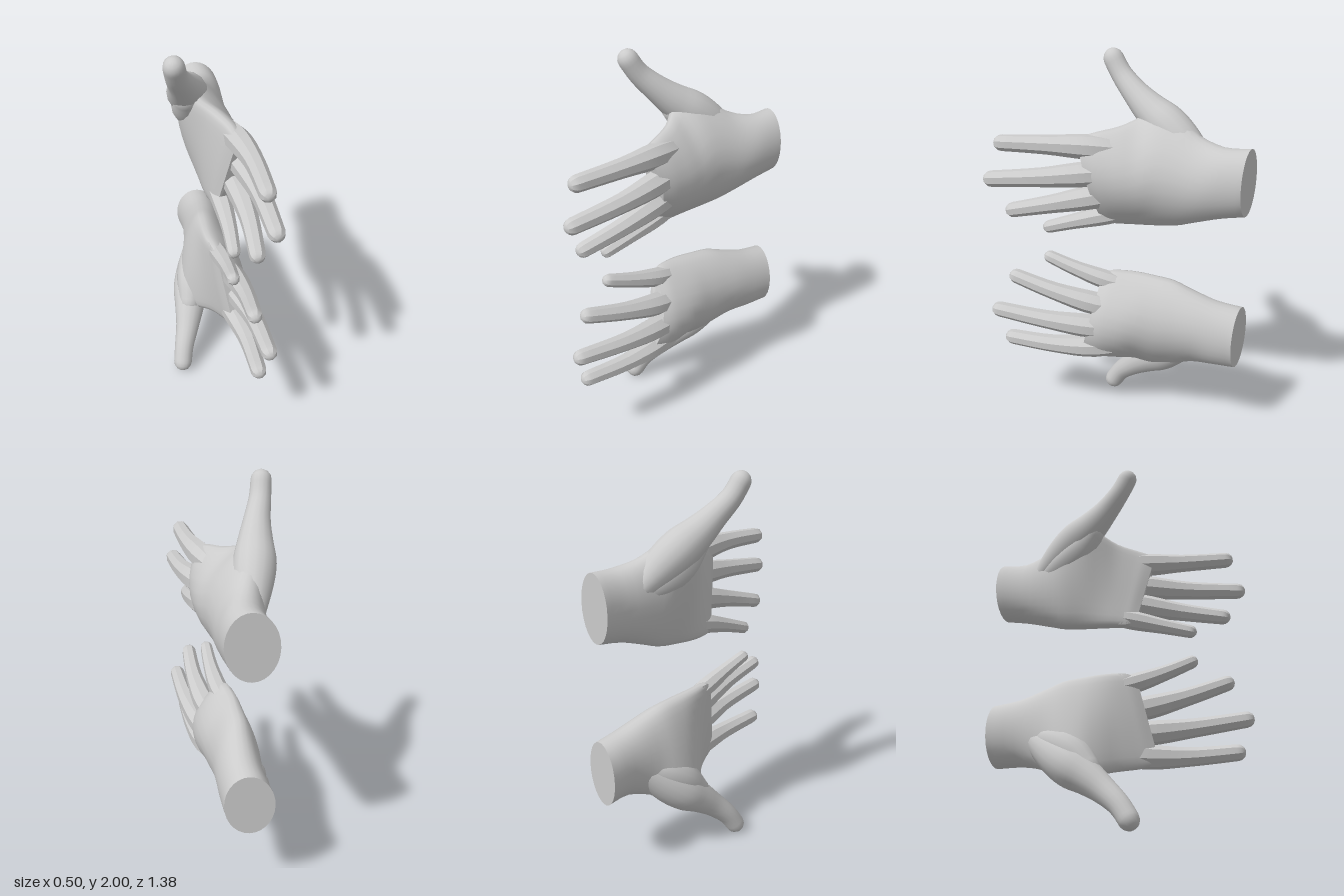
import * as THREE from 'three';
import { toCreasedNormals } from 'three/addons/utils/BufferGeometryUtils.js';

const material = new THREE.MeshStandardMaterial({ color: 0xcccccc });
const V = (x, y, z) => new THREE.Vector3(x, y, z);

// smooth interpolation of every column of a small table, t in 0..1
function sample(rows, t) {
  return rows[0].map((_, c) =>
    new THREE.SplineCurve(rows.map((r, i) => new THREE.Vector2(i, r[c]))).getPoint(t).y);
}

// skin a list of equal-sized rings and close both ends; faces always point outward
function loft(name, rings, crease, mirrored) {
  const n = rings[0].length, pos = [], idx = [];
  const mean = (ring) => ring.reduce((a, p) => a.add(p), V(0, 0, 0)).divideScalar(n);
  const points = [...rings.flat(), mean(rings[0]), mean(rings[rings.length - 1])];
  if (mirrored) points.forEach((p) => { p.y = 2 - p.y; });
  points.forEach((p) => pos.push(p.x, p.y, p.z));
  const last = (rings.length - 1) * n, c0 = rings.length * n;
  for (let j = 0; j < n; j++) {
    const k = (j + 1) % n;
    for (let i = 0; i < last; i += n) idx.push(i + j, i + k, i + n + k, i + j, i + n + k, i + n + j);
    idx.push(c0, k, j, c0 + 1, last + j, last + k);
  }
  let volume = 0;
  const normal = V(0, 0, 0);
  for (let i = 0; i < idx.length; i += 3)
    volume += points[idx[i]].dot(normal.crossVectors(points[idx[i + 1]], points[idx[i + 2]]));
  if (volume < 0) idx.reverse();
  const geometry = new THREE.BufferGeometry();
  geometry.setAttribute('position', new THREE.Float32BufferAttribute(pos, 3));
  geometry.setIndex(idx);
  const mesh = new THREE.Mesh(toCreasedNormals(geometry, crease), material);
  mesh.name = name;
  return mesh;
}

// tapering limb along rows of [x, y, z, radius], ending in a rounded tip
function limb(name, rows, sides, crease, mirrored) {
  const rings = [], steps = (rows.length - 1) * 4;
  const at = (t) => { const [x, y, z, r] = sample(rows, t); return { p: V(x, y, z), r }; };
  const addRing = (p, dir, r) => {
    const u = V(1, 0, 0).cross(dir).normalize(), v = dir.clone().cross(u);
    rings.push(Array.from({ length: sides }, (_, j) => {
      const a = ((j + 0.5) / sides) * Math.PI * 2;
      return p.clone().addScaledVector(u, r * Math.cos(a)).addScaledVector(v, r * Math.sin(a));
    }));
  };
  let dir;
  for (let i = 0; i <= steps; i++) {
    const t = i / steps, { p, r } = at(t);
    dir = at(Math.min(1, t + 0.02)).p.sub(at(Math.max(0, t - 0.02)).p).normalize();
    addRing(p, dir, r);
  }
  const end = at(1);
  for (const a of [0.45, 0.9, 1.3])
    addRing(end.p.clone().addScaledVector(dir, end.r * Math.sin(a)), dir, end.r * Math.cos(a));
  return loft(name, rings, crease, mirrored);
}

// palm rows: z, upper edge y, x, lower edge y, x, half thickness, bow of the back, z slant by x, by y
const PALM = [
  [-0.65, 1.597, 0.128, 1.257, 0.128, 0.118, 0, 0.34, 0],
  [-0.52, 1.595, 0.113, 1.235, 0.11, 0.113, 0.005, 0.2, 0],
  [-0.4, 1.632, 0.04, 1.195, 0.075, 0.11, 0.045, 0, 0],
  [-0.3, 1.715, -0.05, 1.16, 0.045, 0.104, 0.09, 0, 0],
  [-0.2, 1.75, -0.09, 1.147, 0.025, 0.094, 0.12, 0, 0],
  [-0.11, 1.692, -0.045, 1.14, 0.008, 0.082, 0.122, 0, 0.03],
  [-0.03, 1.658, 0.015, 1.137, 0, 0.074, 0.104, 0, 0.08],
  [0.05, 1.638, 0.05, 1.136, 0, 0.063, 0.086, 0, 0.17],
  [0.1, 1.622, 0.06, 1.14, 0, 0.052, 0.078, 0, 0.22],
  [0.145, 1.605, 0.068, 1.16, 0.005, 0.033, 0.07, 0, 0.25],
];

// the back bows more than the palm side, and sections grow boxier towards the knuckles
function palm(mirrored) {
  const rings = [], steps = 27, sides = 28;
  for (let i = 0; i <= steps; i++) {
    const t = i / steps;
    const [z, yt, xt, yb, xb, thick, bow, slantX, slantY] = sample(PALM, t);
    rings.push(Array.from({ length: sides }, (_, j) => {
      const a = (j / sides) * Math.PI * 2, c = Math.cos(a), s = Math.sin(a), f = (1 + c) / 2;
      const side = Math.sign(s) * Math.abs(s) ** (1 - 0.3 * t);
      const x = xb + (xt - xb) * f + bow * (0.65 + 0.35 * s) * (1 - c * c) + thick * side;
      const y = yb + (yt - yb) * f;
      return V(x, y, z + slantX * (x - 0.128) + slantY * (y - 1.4));
    }));
  }
  return loft('palm', rings, 0.9, mirrored);
}

// rows run from inside the palm to the fingertip
const FINGERS = {
  indexFinger: [[0.05, 1.545, -0.1, 0.04], [0.08, 1.564, 0.12, 0.063], [0.08, 1.568, 0.35, 0.049], [0.048, 1.56, 0.588, 0.042]],
  middleFinger: [[0.07, 1.45, -0.1, 0.04], [0.1, 1.432, 0.13, 0.064], [0.105, 1.405, 0.38, 0.05], [0.075, 1.376, 0.646, 0.042]],
  ringFinger: [[0.055, 1.34, -0.1, 0.04], [0.078, 1.305, 0.11, 0.062], [0.067, 1.25, 0.34, 0.048], [0.027, 1.193, 0.554, 0.04]],
  littleFinger: [[0.02, 1.225, -0.12, 0.035], [0.022, 1.187, 0.06, 0.051], [0.006, 1.137, 0.23, 0.041], [-0.02, 1.088, 0.374, 0.034]],
};

const THUMB = [
  [0.05, 1.46, -0.46, 0.05], [0.0, 1.565, -0.34, 0.092], [-0.05, 1.65, -0.24, 0.103],
  [-0.09, 1.718, -0.15, 0.086], [-0.13, 1.79, -0.07, 0.067], [-0.175, 1.87, 0.004, 0.055],
  [-0.2, 1.948, 0.052, 0.052],
];

// muscle at the base of the thumb
const THUMB_PAD = [
  [0.06, 1.45, -0.45, 0.05], [0.005, 1.51, -0.33, 0.088], [-0.043, 1.58, -0.23, 0.092], [-0.085, 1.67, -0.15, 0.065],
];

function hand(name, mirrored) {
  const group = new THREE.Group();
  group.name = name;
  group.add(palm(mirrored));
  for (const [part, rows] of Object.entries(FINGERS)) group.add(limb(part, rows, 8, 0.6, mirrored));
  group.add(limb('thumb', THUMB, 16, 0.9, mirrored));
  group.add(limb('thumbPad', THUMB_PAD, 16, 0.9, mirrored));
  return group;
}

export function createModel() {
  const model = new THREE.Group();
  model.name = 'pairOfHands';
  model.add(hand('upperHand', false), hand('lowerHand', true));
  return model;
}
